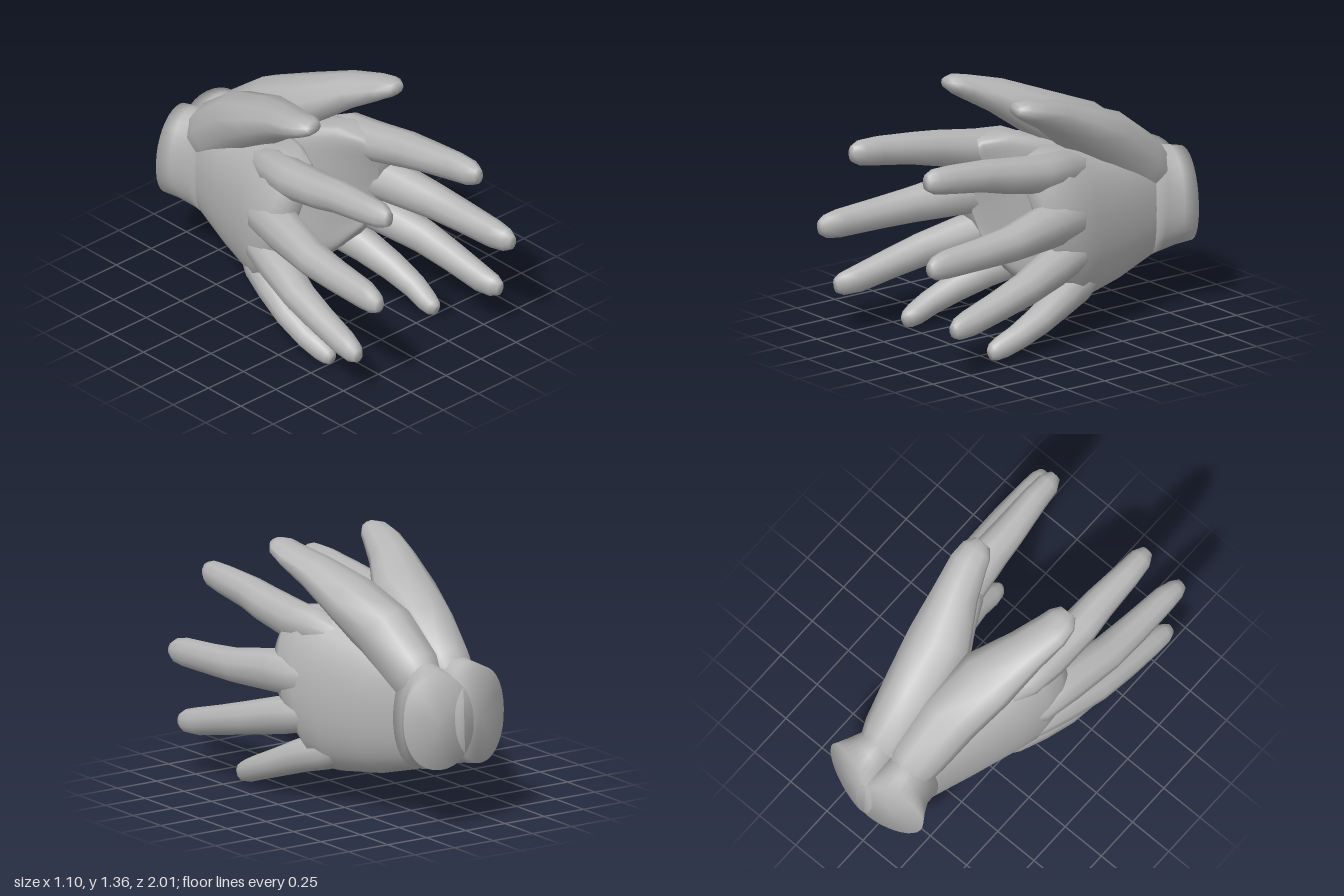
import * as THREE from 'three';

const skin = new THREE.MeshStandardMaterial({ color: 0xb6b6b6 });
skin.name = 'grey skin';

// Skins a list of closed rings and closes both ends.
function loft(name, rings, s) {
  const n = rings[0].length, last = rings.length - 1, pos = [], idx = [];
  const add = (p) => pos.push(p.x * s, p.y, p.z) / 3 - 1;
  const tri = (a, b, c) => (s > 0 ? idx.push(a, b, c) : idx.push(a, c, b));
  const middle = (ring) => ring.reduce((m, p) => m.addScaledVector(p, 1 / n), new THREE.Vector3());
  rings.forEach((ring) => ring.forEach(add));
  const c0 = add(middle(rings[0])), c1 = add(middle(rings[last]));
  for (let j = 0; j < n; j++) {
    const k = (j + 1) % n;
    for (let i = 0; i < last; i++) {
      const a = i * n + j, b = i * n + k;
      tri(a, b, a + n);
      tri(b, b + n, a + n);
    }
    tri(c0, k, j);
    tri(c1, last * n + j, last * n + k);
  }
  const g = new THREE.BufferGeometry();
  g.setAttribute('position', new THREE.Float32BufferAttribute(pos, 3));
  g.setIndex(idx);
  g.computeVertexNormals();
  const mesh = new THREE.Mesh(g, skin);
  mesh.name = name;
  return mesh;
}

// Finger rings stand square to the path; each station is [x, y, z, halfWidth, halfHeight].
function fingerRings(stations, n = 10) {
  const p = stations.map((q) => new THREE.Vector3(q[0], q[1], q[2]));
  const up = new THREE.Vector3(0, 1, 0);
  return p.map((c, i) => {
    const t = p[Math.min(i + 1, p.length - 1)].clone().sub(p[Math.max(i - 1, 0)]).normalize();
    const side = up.clone().cross(t).normalize();
    const high = t.clone().cross(side);
    return Array.from({ length: n }, (_, j) => {
      const a = ((j + 0.5) / n) * Math.PI * 2;
      return c.clone()
        .addScaledVector(side, Math.cos(a) * stations[i][3])
        .addScaledVector(high, Math.sin(a) * stations[i][4]);
    });
  });
}

// Body rings: [z, centreX, halfWidth, centreY, halfHeight, bow, slantX, slantY].
// The inner half can be squarer than the outer half.
function bodyRings(stations, outerPower, innerPower, n = 32) {
  const round = (v, power) => Math.sign(v) * Math.abs(v) ** (2 / power);
  return stations.map(([z, cx, rx, cy, ry, bow, sx, sy]) =>
    Array.from({ length: n }, (_, j) => {
      const a = (j / n) * Math.PI * 2;
      const power = Math.cos(a) > 0 ? outerPower : innerPower;
      const u = round(Math.cos(a), power), v = round(Math.sin(a), power);
      return new THREE.Vector3(
        cx + rx * u + bow * (1 - v * v), cy + ry * v, z + sx * rx * u + sy * ry * v);
    }));
}

const fingers = {
  indexFinger: [
    [0.19, 0.86, -0.3, 0.05, 0.06], [0.275, 0.93, -0.02, 0.1, 0.105], [0.29, 0.937, 0.14, 0.108, 0.107],
    [0.31, 0.98, 0.38, 0.1, 0.097], [0.31, 1.005, 0.52, 0.09, 0.088], [0.32, 1.03, 0.74, 0.072, 0.08],
    [0.32, 1.04, 0.85, 0.062, 0.07], [0.32, 1.045, 0.905, 0.032, 0.045]],
  middleFinger: [
    [0.22, 0.66, -0.28, 0.06, 0.08], [0.34, 0.675, 0.0, 0.118, 0.118], [0.385, 0.67, 0.19, 0.11, 0.119],
    [0.435, 0.645, 0.45, 0.094, 0.096], [0.45, 0.635, 0.65, 0.083, 0.086],
    [0.46, 0.625, 0.88, 0.067, 0.08], [0.47, 0.62, 0.96, 0.052, 0.066], [0.475, 0.62, 1.0, 0.03, 0.04]],
  ringFinger: [
    [0.22, 0.54, -0.3, 0.06, 0.08], [0.335, 0.475, -0.02, 0.112, 0.1], [0.385, 0.44, 0.13, 0.104, 0.102],
    [0.445, 0.385, 0.35, 0.09, 0.09], [0.47, 0.335, 0.55, 0.079, 0.08],
    [0.487, 0.285, 0.75, 0.066, 0.074], [0.5, 0.272, 0.83, 0.052, 0.063], [0.508, 0.268, 0.87, 0.03, 0.04]],
  littleFinger: [
    [0.2, 0.36, -0.34, 0.05, 0.07], [0.28, 0.285, -0.12, 0.09, 0.1], [0.325, 0.235, 0.03, 0.09, 0.09],
    [0.365, 0.165, 0.2, 0.08, 0.076], [0.38, 0.107, 0.35, 0.068, 0.067],
    [0.372, 0.068, 0.45, 0.058, 0.062], [0.37, 0.05, 0.5, 0.045, 0.051], [0.37, 0.042, 0.525, 0.024, 0.034]],
  thumb: [
    [0.1, 0.66, -0.8, 0.1, 0.13], [0.1, 0.8, -0.66, 0.145, 0.168], [0.12, 0.972, -0.44, 0.168, 0.165],
    [0.165, 1.1, -0.2, 0.175, 0.13], [0.242, 1.22, 0.02, 0.125, 0.094],
    [0.288, 1.283, 0.18, 0.104, 0.066], [0.295, 1.31, 0.25, 0.088, 0.053], [0.295, 1.325, 0.3, 0.05, 0.032]],
};

// Palm presses against its mirror image, then opens and bows outward towards the knuckles.
const palm = [
  [-0.78, 0.1, 0.12, 0.59, 0.25, 0, 0, 0],
  [-0.7, 0.1, 0.13, 0.58, 0.295, 0, 0, 0],
  [-0.45, 0.135, 0.17, 0.56, 0.345, 0.005, 0, 0],
  [-0.18, 0.185, 0.2, 0.59, 0.41, 0.015, 0, 0.05],
  [-0.04, 0.235, 0.165, 0.61, 0.425, 0.04, 0, 0.15],
  [0.07, 0.255, 0.12, 0.635, 0.375, 0.065, 0, 0.25],
  [0.15, 0.29, 0.065, 0.65, 0.25, 0.065, 0, 0.25],
];

// Flared wrist, cut off at a slant.
const wrist = [
  [-0.945, 0.135, 0.185, 0.595, 0.255, 0, 0.3, 0.04],
  [-0.86, 0.115, 0.165, 0.597, 0.272, 0, 0.2, 0.03],
  [-0.76, 0.1, 0.14, 0.592, 0.293, 0, 0.05, 0],
  [-0.67, 0.1, 0.138, 0.578, 0.297, 0, 0, 0],
];

function hand(name, s) {
  const group = new THREE.Group();
  group.name = name;
  group.add(loft('palm', bodyRings(palm, 2.2, 5), s));
  group.add(loft('wrist', bodyRings(wrist, 2.1, 2.1), s));
  for (const [part, stations] of Object.entries(fingers)) {
    group.add(loft(part, fingerRings(stations), s));
  }
  return group;
}

export function createModel() {
  const model = new THREE.Group();
  model.name = 'pairOfHands';
  model.add(hand('leftHand', 1), hand('rightHand', -1));
  return model;
}
